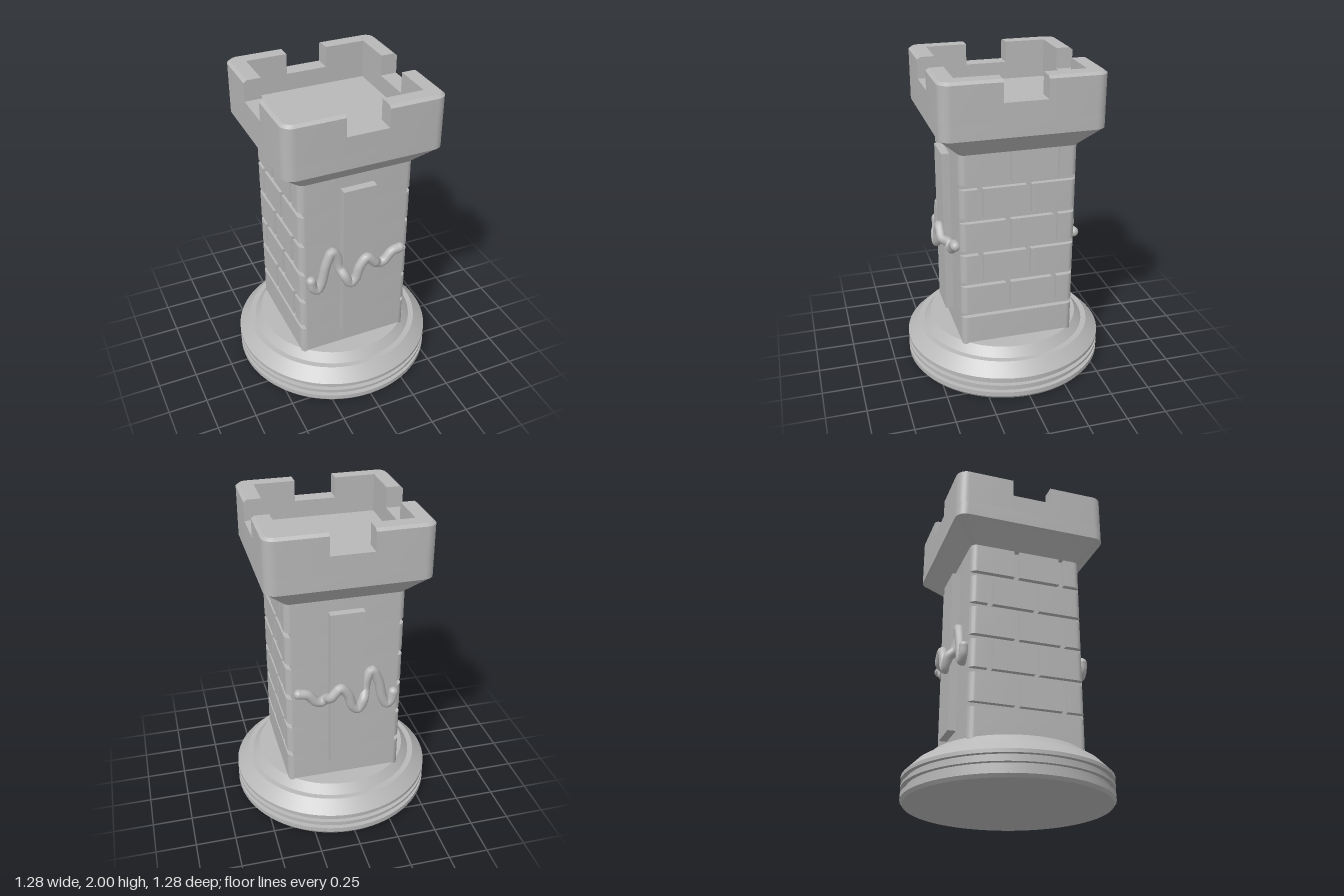
import * as THREE from 'three';
import { toCreasedNormals } from 'three/addons/utils/BufferGeometryUtils.js';

const stone = new THREE.MeshStandardMaterial({ color: 0xb8b8b8 });
stone.name = 'grey stone';

function add(parent, name, geometry) {
  const mesh = new THREE.Mesh(geometry, stone);
  mesh.name = name;
  parent.add(mesh);
  return mesh;
}

// Quarter-round corner of a plan outline, centred on (cx, cy)
function corner(cx, cy, r, start = 0, steps = 8) {
  return Array.from({ length: steps + 1 }, (_, i) => {
    const a = start + (i / steps) * Math.PI / 2;
    return [cx + r * Math.cos(a), cy + r * Math.sin(a)];
  });
}

const turn = (points) => points.map(([u, v]) => [-u, -v]);

function roundedRect(hx, hz, r) {
  const half = [...corner(hx - r, r - hz, r, -Math.PI / 2), ...corner(hx - r, hz - r, r)];
  return [...half, ...turn(half)];
}

// Solid through counter-clockwise plan outlines [points, height]; plan (u, v) becomes x, -z
function loft(rings) {
  const pos = [];
  const put = (ring, i) => pos.push(ring[0][i][0], ring[1], -ring[0][i][1]);
  const n = rings[0][0].length;
  for (let k = 0; k < rings.length - 1; k++) {
    const lo = rings[k], hi = rings[k + 1];
    for (let i = 0; i < n; i++) {
      const j = (i + 1) % n;
      put(lo, i); put(lo, j); put(hi, j);
      put(lo, i); put(hi, j); put(hi, i);
    }
  }
  const cap = (ring, flip) => {
    const outline = ring[0].map(([u, v]) => new THREE.Vector2(u, v));
    for (const [a, b, c] of THREE.ShapeUtils.triangulateShape(outline, [])) {
      for (const i of flip ? [a, c, b] : [a, b, c]) put(ring, i);
    }
  };
  cap(rings[0], true);
  cap(rings[rings.length - 1], false);
  const geometry = new THREE.BufferGeometry();
  geometry.setAttribute('position', new THREE.Float32BufferAttribute(pos, 3));
  return toCreasedNormals(geometry, 0.45);
}

const HX = 0.365, HZ = 0.36, R = 0.04, DEPTH = 0.032, JOINT = 0.032;

// Brick course plan: vertical joints cut into both side faces
function coursePlan(joints) {
  const half = corner(HX - R, R - HZ, R, -Math.PI / 2);
  for (const v of joints) {
    const a = v - JOINT / 2, b = v + JOINT / 2;
    half.push([HX, a], [HX - DEPTH, a], [HX - DEPTH, b], [HX, b]);
  }
  half.push(...corner(HX - R, HZ - R, R));
  return [...half, ...turn(half)];
}

// Mortar plan: the same outline with the side faces cut back
function mortarPlan() {
  const limit = HX - DEPTH;
  const clip = (points) => points.filter(([u]) => u <= limit);
  const half = [
    ...clip(corner(HX - R, R - HZ, R, -Math.PI / 2, 16)), [limit, -HZ + 0.008],
    [limit, HZ - 0.008], ...clip(corner(HX - R, HZ - R, R, 0, 16)),
  ];
  return [...half, ...turn(half)];
}

function buildBase() {
  const profile = [
    [0, 0], [0.625, 0], [0.64, 0.02], [0.64, 0.05], [0.612, 0.05], [0.612, 0.085],
    [0.64, 0.085], [0.64, 0.102], [0.612, 0.102], [0.612, 0.133], [0.64, 0.133],
    [0.64, 0.155], [0.565, 0.23], [0.53, 0.23], [0.485, 0.285], [0, 0.285],
  ].map(([x, y]) => new THREE.Vector2(x, y));
  return toCreasedNormals(new THREE.LatheGeometry(profile, 96), 0.3);
}

function buildShaft() {
  const shaft = new THREE.Group();
  shaft.name = 'shaft';
  const joints = [[-0.235, 0.063], [-0.064, 0.233]];
  add(shaft, 'shaftFoot', loft([[coursePlan([]), 0.27], [coursePlan([]), 0.466]]));
  for (let i = 0; i < 5; i++) {
    const y = 0.466 + i * 0.214;
    const top = i === 4 ? 1.54 : y + 0.214;
    const plan = coursePlan(joints[(i + 1) % 2]);
    add(shaft, 'mortarLine', loft([[mortarPlan(), y], [mortarPlan(), y + JOINT]]));
    add(shaft, 'brickCourse', loft([[plan, y + JOINT], [plan, top]]));
  }
  return shaft;
}

function buildHead() {
  const head = new THREE.Group();
  head.name = 'head';
  add(head, 'collar', loft([
    [roundedRect(HX, HZ, R), 1.54], [roundedRect(0.475, 0.475, 0.06), 1.655],
  ]));
  const outer = roundedRect(0.49, 0.49, 0.07);
  add(head, 'headBlock', loft([
    [roundedRect(0.475, 0.475, 0.06), 1.655], [outer, 1.667], [outer, 1.76],
  ]));
  // L-shaped merlons at the corners, low walls between them
  const ell = (h, r) => [
    [h, 0.13], ...corner(h - r, h - r, r), [0.13, h],
    [0.13, 0.385], [0.385, 0.385], [0.385, 0.13],
  ];
  const merlon = loft([[ell(0.49, 0.07), 1.76], [ell(0.49, 0.07), 1.985], [ell(0.47, 0.05), 2]]);
  const wall = new THREE.BoxGeometry(0.26, 0.11, 0.105).translate(0, 1.815, 0.4375);
  for (let i = 0; i < 4; i++) {
    add(head, 'merlon', merlon).rotation.y = i * Math.PI / 2;
    add(head, 'lowWall', wall).rotation.y = i * Math.PI / 2;
  }
  return head;
}

// Wavy cord that steps up over the raised panel; side is 1 for front, -1 for back
function buildCord(side) {
  const cord = new THREE.Group();
  cord.name = side > 0 ? 'frontCord' : 'backCord';
  const low = 0.378, high = 0.425;
  const points = [
    [-0.305, 0.86, low], [-0.293, 0.805, low], [-0.265, 0.782, low], [-0.237, 0.83, low],
    [-0.205, 0.96, low], [-0.165, 1.04, low], [-0.136, 1.0, low], [-0.118, 0.915, low + 0.006],
    [-0.1, 0.868, high - 0.004], [-0.065, 0.808, high], [-0.03, 0.835, high], [0, 0.92, high],
    [0.045, 0.97, high], [0.08, 0.94, high], [0.105, 0.91, high - 0.004],
    [0.125, 0.885, low + 0.006], [0.155, 0.862, low], [0.19, 0.872, low],
    [0.24, 0.925, low], [0.295, 0.938, low],
  ].map(([x, y, z]) => new THREE.Vector3(x, y, side * z));
  const curve = new THREE.CatmullRomCurve3(points);
  add(cord, 'cord', new THREE.TubeGeometry(curve, 140, 0.031, 14));
  for (const end of [points[0], points[points.length - 1]]) {
    add(cord, 'cordEnd', new THREE.SphereGeometry(0.031, 16, 12)).position.copy(end);
  }
  return cord;
}

export function createModel() {
  const model = new THREE.Group();
  model.name = 'castleTower';
  add(model, 'base', buildBase());
  model.add(buildShaft(), buildHead());
  for (const side of [1, -1]) {
    const panel = new THREE.BoxGeometry(0.21, 1.065, 0.06).translate(0, 0.9325, side * 0.38);
    add(model, side > 0 ? 'frontPanel' : 'backPanel', panel);
    model.add(buildCord(side));
  }
  return model;
}
